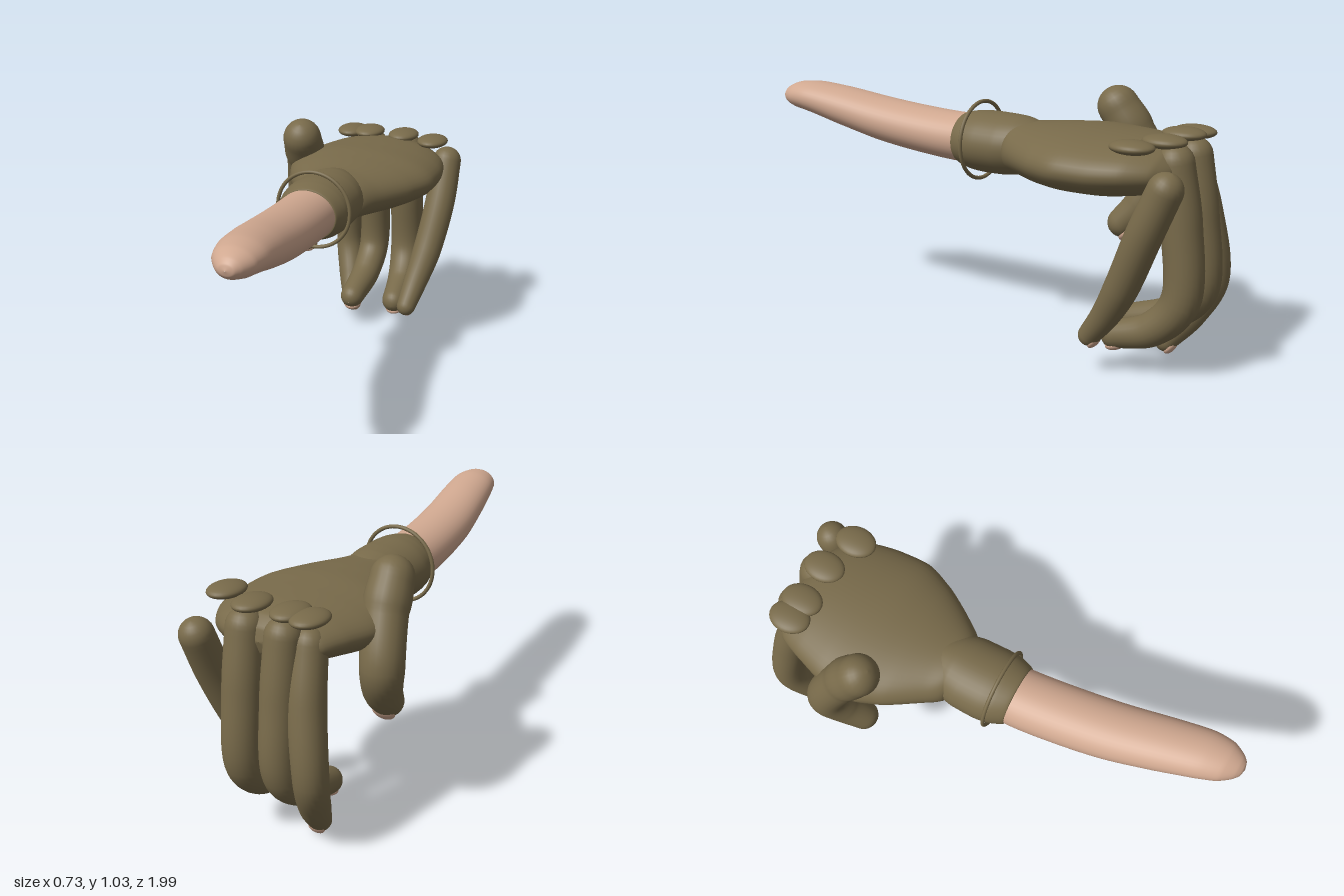
import * as THREE from 'three';

const olive = new THREE.MeshStandardMaterial({ color: 0x786a4a });
olive.name = 'olive glove';
const skin = new THREE.MeshStandardMaterial({ color: 0xd0a890 });
skin.name = 'skin';

// Joins equal-length rings of points into one closed smooth surface
function skinRings(rings) {
  const n = rings[0].length, pos = [], idx = [];
  rings.forEach(r => r.forEach(p => pos.push(p.x, p.y, p.z)));
  for (let i = 0; i < rings.length - 1; i++) {
    for (let j = 0; j < n; j++) {
      const a = i * n + j, b = i * n + (j + 1) % n;
      idx.push(a, b, a + n, b, b + n, a + n);
    }
  }
  const g = new THREE.BufferGeometry();
  g.setAttribute('position', new THREE.Float32BufferAttribute(pos, 3));
  g.setIndex(idx);
  g.computeVertexNormals();
  return g;
}

// Elliptical sections along z, each [x, y, z, rx, ry], with z rising
function loftZ(sections, steps = 40, sides = 40) {
  const centres = new THREE.CatmullRomCurve3(sections.map(s => new THREE.Vector3(s[0], s[1], s[2])));
  const radii = new THREE.CatmullRomCurve3(sections.map(s => new THREE.Vector3(s[3], s[4], 0)));
  const rings = [];
  for (let i = 0; i <= steps; i++) {
    const c = centres.getPoint(i / steps), r = radii.getPoint(i / steps);
    rings.push(Array.from({ length: sides }, (_, j) => {
      const a = j / sides * Math.PI * 2;
      return new THREE.Vector3(c.x + r.x * Math.cos(a), c.y + r.y * Math.sin(a), c.z);
    }));
  }
  return skinRings(rings);
}

// Round limb through [x, y, z, radius] with hemispherical ends
function limb(points, steps = 36, sides = 24, caps = 7) {
  const curve = new THREE.CatmullRomCurve3(points.map(p => new THREE.Vector3(p[0], p[1], p[2])));
  const radii = new THREE.CatmullRomCurve3(points.map(p => new THREE.Vector3(p[3], 0, 0)));
  const stations = [];
  const cap = (t, sign, k) => {
    const a = k / caps * Math.PI / 2, r = radii.getPoint(t).x, d = curve.getTangent(t);
    stations.push({
      c: curve.getPoint(t).addScaledVector(d, sign * r * Math.cos(a)),
      d, r: Math.max(r * Math.sin(a), 0.0005)
    });
  };
  for (let k = 0; k < caps; k++) cap(0, -1, k);
  for (let i = 0; i <= steps; i++) {
    const t = i / steps;
    stations.push({ c: curve.getPoint(t), d: curve.getTangent(t), r: radii.getPoint(t).x });
  }
  for (let k = caps - 1; k >= 0; k--) cap(1, 1, k);
  return skinRings(stations.map(({ c, d, r }) => {
    // The limbs bend mostly in the yz plane, so x is a stable side axis
    const u = new THREE.Vector3(1, 0, 0).addScaledVector(d, -d.x).normalize();
    const v = new THREE.Vector3().crossVectors(d, u);
    return Array.from({ length: sides }, (_, j) => {
      const a = j / sides * Math.PI * 2;
      return c.clone().addScaledVector(u, r * Math.cos(a)).addScaledVector(v, r * Math.sin(a));
    });
  }));
}

export function createModel() {
  const group = new THREE.Group();
  const add = (name, geometry, material = olive) => {
    const m = new THREE.Mesh(geometry, material);
    m.name = name;
    group.add(m);
    return m;
  };

  // Bare forearm, tapering to a rounded end
  add('forearm', loftZ([
    [0.03, 0.80, 0.02, 0.118, 0.1],
    [0.035, 0.80, 0.14, 0.122, 0.1],
    [0.05, 0.815, 0.32, 0.122, 0.097],
    [0.07, 0.84, 0.50, 0.12, 0.093],
    [0.10, 0.88, 0.69, 0.113, 0.083],
    [0.125, 0.91, 0.84, 0.102, 0.069],
    [0.135, 0.915, 0.92, 0.084, 0.058],
    [0.14, 0.913, 0.97, 0.053, 0.04],
    [0.142, 0.912, 0.99, 0.03, 0.022],
    [0.142, 0.912, 0.997, 0.001, 0.001]
  ], 60), skin);

  // Glove cuff, closed at both ends
  add('cuff', loftZ([
    [0.03, 0.8, -0.28, 0.001, 0.001],
    [0.03, 0.8, -0.25, 0.09, 0.09],
    [0.03, 0.797, -0.17, 0.14, 0.117],
    [0.03, 0.795, -0.11, 0.152, 0.123],
    [0.03, 0.795, -0.02, 0.154, 0.125],
    [0.032, 0.796, 0.04, 0.148, 0.121],
    [0.034, 0.798, 0.1, 0.124, 0.106],
    [0.034, 0.798, 0.102, 0.115, 0.097]
  ], 56));

  // Thin hoop around the cuff
  add('cuffRing', new THREE.TorusGeometry(0.158, 0.008, 12, 64)).position.set(0.03, 0.797, 0.03);

  // Broad flat palm
  add('palm', loftZ([
    [0.03, 0.8, -0.9, 0.001, 0.001],
    [0.03, 0.8, -0.885, 0.16, 0.05],
    [0.035, 0.8, -0.84, 0.235, 0.085],
    [0.045, 0.8, -0.75, 0.285, 0.105],
    [0.04, 0.795, -0.63, 0.32, 0.118],
    [0.033, 0.795, -0.5, 0.332, 0.122],
    [0.03, 0.793, -0.36, 0.285, 0.118],
    [0.03, 0.793, -0.24, 0.21, 0.108],
    [0.027, 0.793, -0.15, 0.14, 0.1],
    [0.027, 0.793, -0.13, 0.001, 0.001]
  ], 64, 48));

  // Thumb and curled fingers
  const digits = {
    thumb: [[-0.235, 0.945, -0.45, 0.084], [-0.25, 0.84, -0.52, 0.084], [-0.283, 0.66, -0.6, 0.083],
      [-0.26, 0.55, -0.56, 0.075], [-0.235, 0.465, -0.485, 0.062]],
    indexFinger: [[-0.13, 0.8, -0.82, 0.066], [-0.15, 0.6, -0.875, 0.07], [-0.18, 0.32, -0.91, 0.066],
      [-0.145, 0.17, -0.845, 0.06], [-0.105, 0.052, -0.76, 0.045]],
    middleFinger: [[-0.055, 0.83, -0.865, 0.07], [-0.053, 0.6, -0.9, 0.073], [-0.055, 0.31, -0.915, 0.07],
      [-0.055, 0.2, -0.81, 0.067], [-0.055, 0.14, -0.63, 0.055]],
    ringFinger: [[0.112, 0.83, -0.865, 0.072], [0.11, 0.6, -0.9, 0.077], [0.115, 0.31, -0.91, 0.075],
      [0.13, 0.19, -0.81, 0.067], [0.145, 0.14, -0.66, 0.055]],
    littleFinger: [[0.295, 0.775, -0.915, 0.066], [0.295, 0.6, -0.84, 0.068], [0.27, 0.38, -0.745, 0.065],
      [0.245, 0.25, -0.67, 0.055], [0.228, 0.15, -0.595, 0.043]]
  };
  for (const [name, points] of Object.entries(digits)) add(name, limb(points));

  // Flattened knuckle pads: x, y, z
  const knuckles = [[-0.14, 0.9, -0.825], [-0.055, 0.905, -0.82], [0.112, 0.905, -0.82], [0.268, 0.905, -0.768]];
  for (const [x, y, z] of knuckles) {
    const pad = add('knucklePad', new THREE.SphereGeometry(1, 28, 18));
    pad.scale.set(0.067, 0.026, 0.086);
    pad.position.set(x, y, z);
  }

  // Nails, shallow domes on the outer side of each tip
  for (const [name, points] of Object.entries(digits)) {
    const tip = new THREE.Vector3(...points[4]), r = points[4][3];
    const along = tip.clone().sub(new THREE.Vector3(...points[3])).normalize();
    const side = new THREE.Vector3(1, 0, 0).addScaledVector(along, -along.x).normalize();
    const out = new THREE.Vector3().crossVectors(along, side);
    if (out.z > 0 || out.y > 0) out.negate();
    side.crossVectors(out, along);
    const nail = add(name + 'Nail', new THREE.SphereGeometry(1, 20, 14), skin);
    nail.quaternion.setFromRotationMatrix(new THREE.Matrix4().makeBasis(side, out, along));
    nail.scale.set(r * 0.75, r * 0.4, r * 0.8);
    nail.position.copy(tip).addScaledVector(out, r * 0.7).addScaledVector(along, r * 0.1);
  }
  return group;
}
